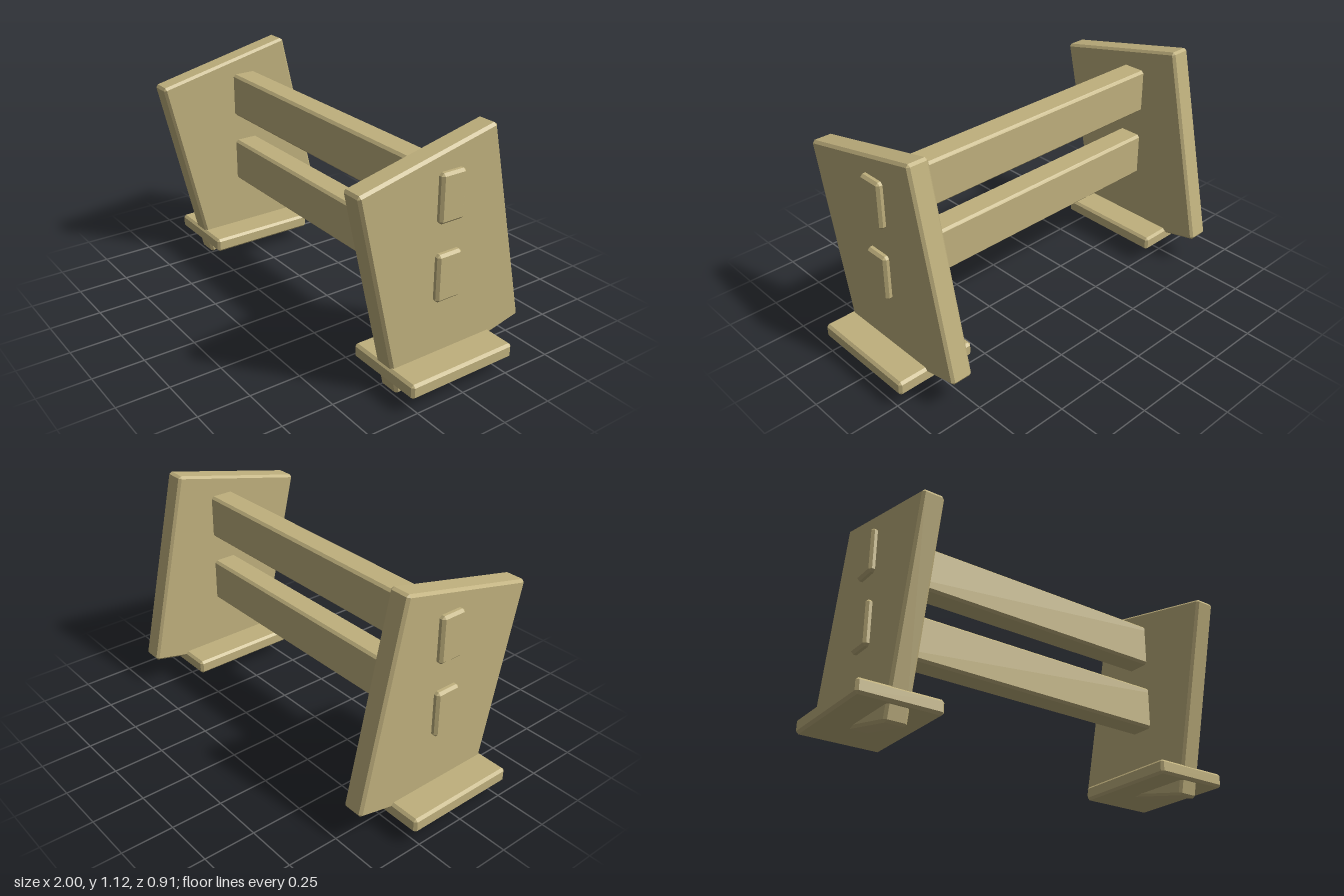
import * as THREE from 'three';
import { ConvexGeometry } from 'three/addons/geometries/ConvexGeometry.js';

const wood = new THREE.MeshStandardMaterial({ color: 0xbfb07d, flatShading: true });

// Box with every edge cut by a flat chamfer
function chamferedBox(w, h, d, c = 0.012) {
  const points = [];
  for (const sx of [-1, 1]) for (const sy of [-1, 1]) for (const sz of [-1, 1]) {
    for (let axis = 0; axis < 3; axis++) {
      const half = [w / 2, h / 2, d / 2].map((v, i) => (i === axis ? v : v - c));
      points.push(new THREE.Vector3(sx * half[0], sy * half[1], sz * half[2]));
    }
  }
  return new ConvexGeometry(points);
}

function addPart(parent, name, size, position) {
  const mesh = new THREE.Mesh(chamferedBox(...size), wood);
  mesh.name = name;
  mesh.position.set(...position);
  parent.add(mesh);
  return mesh;
}

export function createModel() {
  const model = new THREE.Group();
  model.name = 'plankStand';

  // Leaning end panels, each standing through a flat foot board
  for (const [side, s] of [['left', 1], ['right', -1]]) {
    const panel = addPart(model, side + 'EndPanel', [0.107, 0.995, 0.718], [s * 0.8, 0.566, 0]);
    panel.rotation.x = 0.222;
    addPart(model, side + 'Foot', [0.4, 0.07, 0.56], [s * 0.8, 0.11, 0]);
  }

  // Upright rails passing through both panels
  addPart(model, 'lowerRail', [1.76, 0.222, 0.128], [0, 0.51, 0]);
  addPart(model, 'upperRail', [1.76, 0.222, 0.128], [0, 0.87, 0]);

  return model;
}
